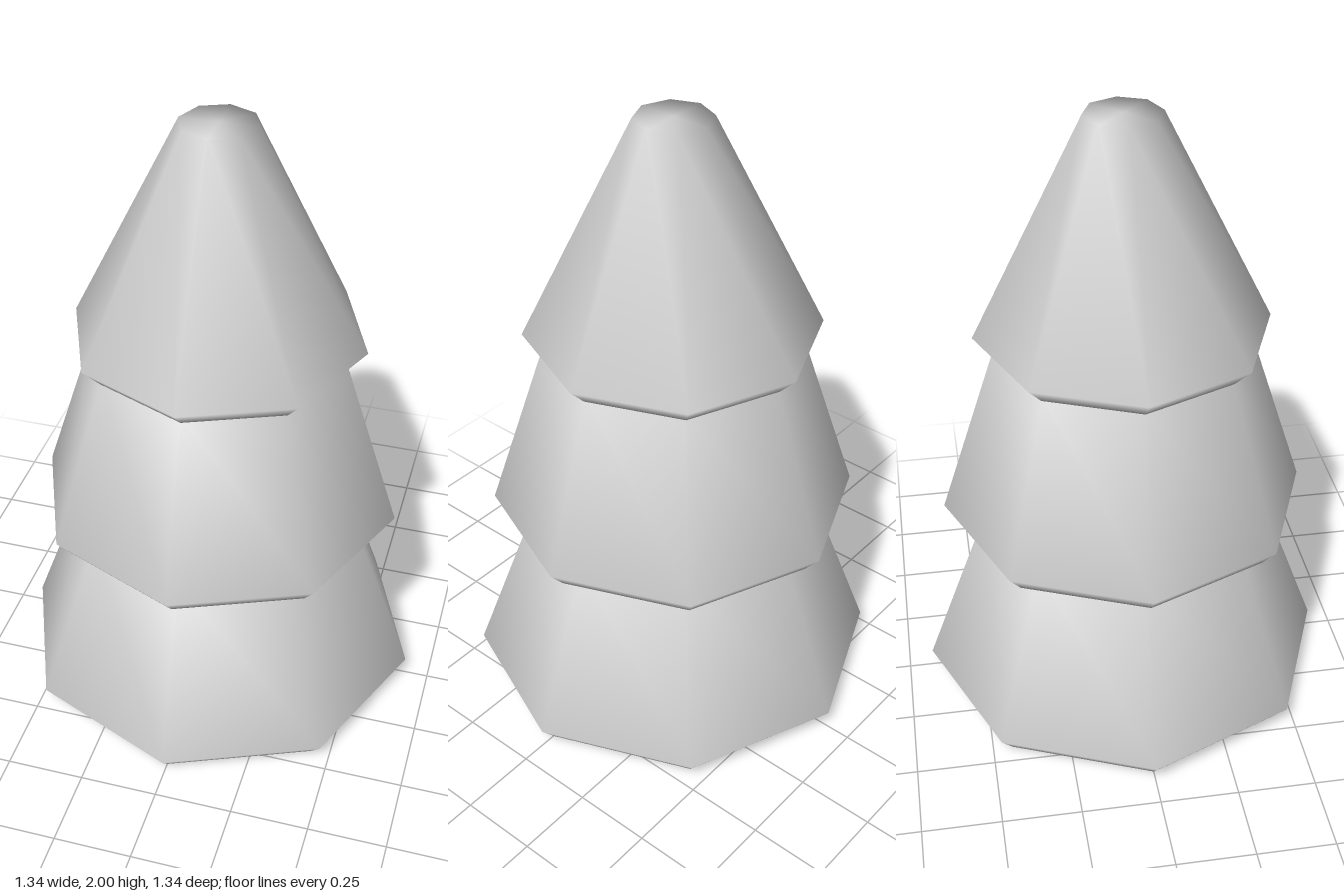
import * as THREE from 'three';
import { mergeVertices } from 'three/addons/utils/BufferGeometryUtils.js';

const SIDES = 8;

// Closed eight-sided tier: flat base, small bevel, wide rim, tapering top
function tierGeometry({ bottom, rim, top }) {
  const profile = [[0, bottom[1]], bottom, rim, top, [0, top[1]]]
    .map(([r, y]) => new THREE.Vector2(r, y));
  const lathe = new THREE.LatheGeometry(profile, SIDES);
  lathe.deleteAttribute('normal');
  lathe.deleteAttribute('uv');
  const geometry = mergeVertices(lathe, 1e-4);
  geometry.computeVertexNormals(); // soft shading across all the edges
  return geometry;
}

export function createModel() {
  const group = new THREE.Group();
  group.name = 'tree';
  const material = new THREE.MeshStandardMaterial({ color: 0xcccccc });

  // [radius, height] of each ring
  const tiers = [
    { name: 'lowerBranches', bottom: [0.62, 0], rim: [0.67, 0.06], top: [0.46, 0.63] },
    { name: 'middleBranches', bottom: [0.54, 0.62], rim: [0.59, 0.68], top: [0.405, 1.25] },
    { name: 'upperBranches', bottom: [0.41, 1.24], rim: [0.467, 1.3], top: [0.12, 2] },
  ];
  for (const tier of tiers) {
    const mesh = new THREE.Mesh(tierGeometry(tier), material);
    mesh.name = tier.name;
    group.add(mesh);
  }
  return group;
}
